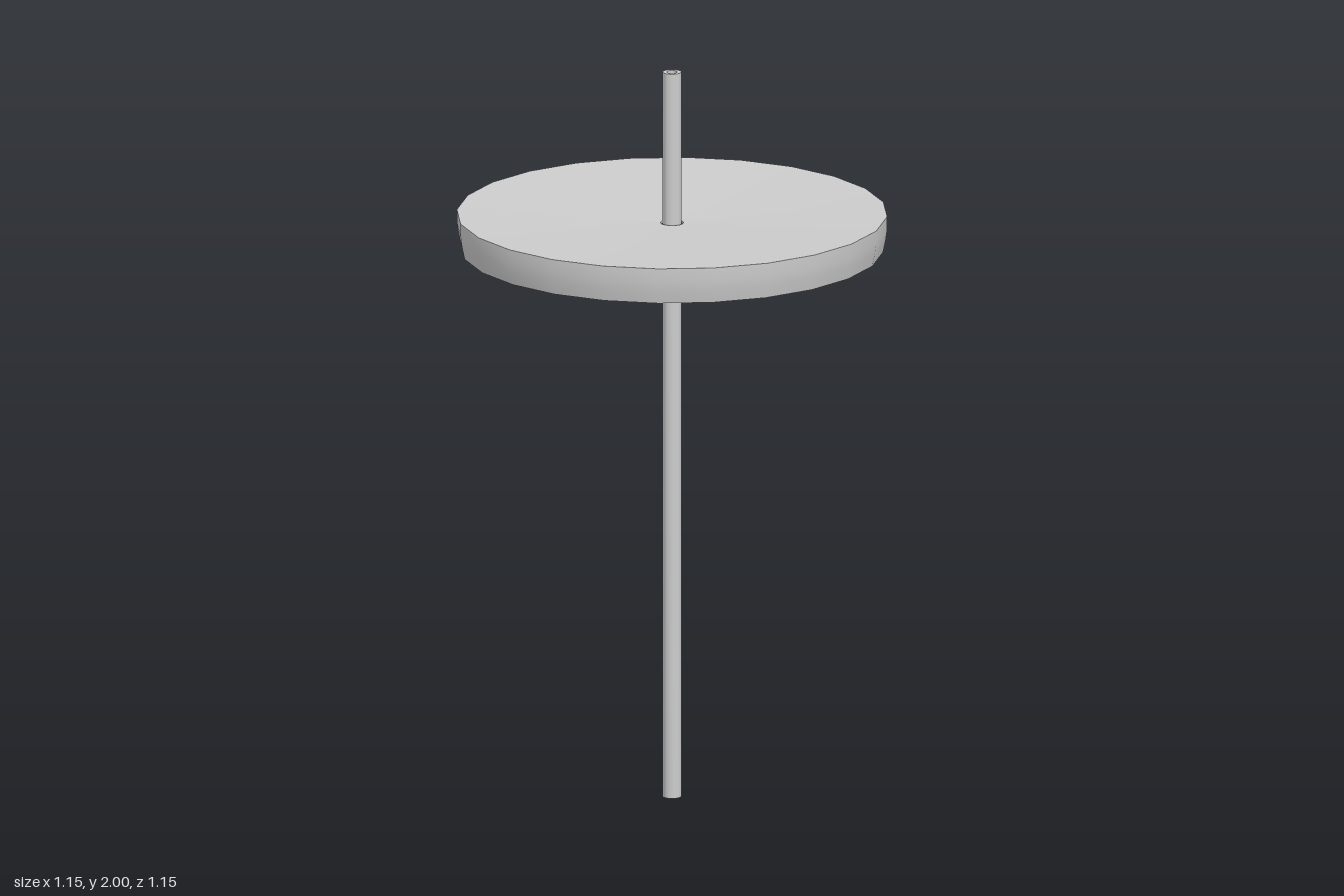
import * as THREE from 'three';
import { toCreasedNormals } from 'three/addons/utils/BufferGeometryUtils.js';

const material = new THREE.MeshStandardMaterial({ color: 0xcccccc });

// Revolve a closed [radius, height] profile, keeping its edges sharp
function revolved(name, profile, sides) {
  const points = profile.map(([r, y]) => new THREE.Vector2(r, y));
  points.push(points[0].clone());
  const geometry = toCreasedNormals(new THREE.LatheGeometry(points, sides), 0.6);
  const mesh = new THREE.Mesh(geometry, material);
  mesh.name = name;
  return mesh;
}

export function createModel() {
  const group = new THREE.Group();
  group.name = 'discOnPole';

  // Hollow pole, open at both ends
  group.add(revolved('pole', [
    [0.014, 0], [0.025, 0], [0.025, 2], [0.014, 2],
  ], 24));

  // Disc with a shallow dished top, a centre hole and a deep rim below
  group.add(revolved('disc', [
    [0.031, 1.578],
    [0.537, 1.55],
    [0.535, 1.512],
    [0.564, 1.512],
    [0.571, 1.545],
    [0.575, 1.575],
    [0.575, 1.61],
    [0.031, 1.584],
  ], 24));

  return group;
}
